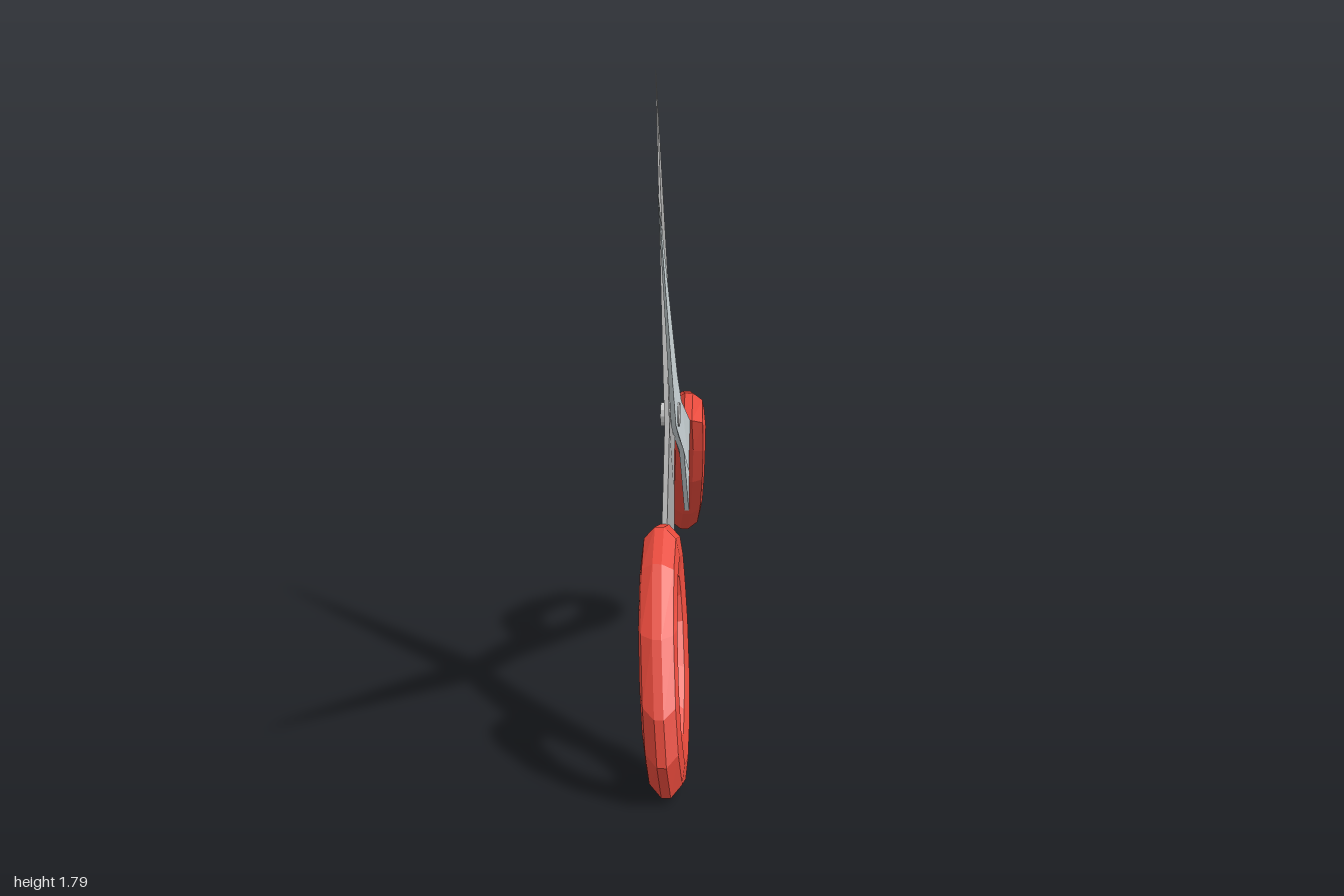
import * as THREE from 'three';
import { toCreasedNormals } from 'three/addons/utils/BufferGeometryUtils.js';

const PIVOT = { y: 0.86, z: 0.11 };

const material = (color) => new THREE.MeshStandardMaterial({ color, flatShading: true });

// Sideways lean of each half: x position of its middle plane at a given y and z
const leanA = (y, z) => 0.008 + (z > PIVOT.z ? 0.04 * (z - PIVOT.z) : 0.13 * Math.min(0, z + 0.4));
const leanB = (y) => -0.008 - (y > PIVOT.y ? 0.103 : 0.08) * (y - PIVOT.y);

function named(geometry, color, name) {
  const mesh = new THREE.Mesh(geometry, material(color));
  mesh.name = name;
  return mesh;
}

// Thin steel plate from a (z, y) outline, thinning towards the tip
function bladeGeometry(outline, lean) {
  const shape = new THREE.Shape(outline.map(([z, y]) => new THREE.Vector2(-z, y)));
  const geometry = new THREE.ExtrudeGeometry(shape, { depth: 0.014, bevelEnabled: false });
  geometry.translate(0, 0, -0.007).rotateY(Math.PI / 2);
  const p = geometry.attributes.position;
  for (let i = 0; i < p.count; i++) {
    const y = p.getY(i), z = p.getZ(i);
    const taper = y > 1.4 ? 0.15 : 1;
    p.setX(i, p.getX(i) * taper + lean(y, z));
  }
  geometry.computeVertexNormals();
  return toCreasedNormals(geometry, 0.3);
}

// Faceted finger loop: a rounded section swept between an outer and an inner outline
function loopGeometry(outer, inner, lean) {
  const half = [[0, 0.012], [0.2, 0.042], [0.5, 0.05], [0.85, 0.04], [1, 0.015]];
  const section = [...half, ...half.map(([t, w]) => [t, -w]).reverse()];
  const n = outer.length, m = section.length;
  const positions = [], index = [];
  for (let i = 0; i < n; i++) {
    for (const [t, w] of section) {
      const z = THREE.MathUtils.lerp(outer[i][0], inner[i][0], t);
      const y = THREE.MathUtils.lerp(outer[i][1], inner[i][1], t);
      positions.push(lean(y, z) + w, y, z);
    }
  }
  for (let i = 0; i < n; i++) {
    for (let j = 0; j < m; j++) {
      const i2 = (i + 1) % n, j2 = (j + 1) % m;
      const a = i * m + j, b = i2 * m + j, c = i2 * m + j2, d = i * m + j2;
      index.push(a, d, c, a, c, b);
    }
  }
  const geometry = new THREE.BufferGeometry();
  geometry.setAttribute('position', new THREE.Float32BufferAttribute(positions, 3));
  geometry.setIndex(index);
  const flat = geometry.toNonIndexed();
  flat.computeVertexNormals();
  return flat;
}

// Outlines are (z, y) pairs
const halves = [
  {
    name: 'forwardHalf', lean: leanA, steel: 0xd0dadd,
    blade: [[1, 1.555], [0.11, 0.97], [-0.02, 0.876], [-0.33, 0.764], [-0.42, 0.7],
      [-0.5, 0.56], [-0.58, 0.43], [-0.107, 0.716], [0.075, 0.79], [0.2, 0.844]],
    outer: [[-0.33, 0.764], [-0.45, 0.828], [-0.606, 0.807], [-0.815, 0.689], [-0.97, 0.556], [-1, 0.47],
      [-0.997, 0.374], [-0.906, 0.315], [-0.75, 0.337], [-0.584, 0.422], [-0.456, 0.55], [-0.39, 0.66]],
    inner: [[-0.51, 0.7], [-0.56, 0.705], [-0.64, 0.69], [-0.74, 0.64], [-0.82, 0.565], [-0.85, 0.51],
      [-0.85, 0.475], [-0.81, 0.445], [-0.72, 0.46], [-0.62, 0.505], [-0.53, 0.58], [-0.505, 0.64]],
  },
  {
    name: 'rearwardHalf', lean: leanB, steel: 0xa8a8a8,
    blade: [[-0.515, 1.8], [0.11, 0.967], [0.2, 0.844], [0.472, 0.625], [0.54, 0.53],
      [0.55, 0.39], [0.595, 0.225], [0.225, 0.65], [0.08, 0.79], [-0.01, 0.876]],
    outer: [[0.472, 0.625], [0.6, 0.646], [0.73, 0.577], [0.88, 0.417], [0.976, 0.235], [1, 0.118],
      [0.96, 0.027], [0.863, 0.01], [0.73, 0.085], [0.595, 0.219], [0.51, 0.385], [0.485, 0.51]].reverse(),
    inner: [[0.6, 0.49], [0.65, 0.505], [0.7, 0.5], [0.785, 0.45], [0.85, 0.36], [0.875, 0.26],
      [0.868, 0.18], [0.79, 0.17], [0.73, 0.21], [0.65, 0.29], [0.6, 0.39], [0.59, 0.45]].reverse(),
  },
];

export function createModel() {
  const model = new THREE.Group();
  model.name = 'scissors';

  for (const { name, lean, steel, blade, outer, inner } of halves) {
    const half = new THREE.Group();
    half.name = name;
    half.add(named(bladeGeometry(blade, lean), steel, 'blade'));
    half.add(named(loopGeometry(outer, inner, lean), 0xe84a3c, 'fingerLoop'));
    model.add(half);
  }

  // Pivot screw through both blades
  const screw = named(new THREE.CylinderGeometry(0.034, 0.034, 0.052, 12), 0xcccccc, 'pivotScrew');
  screw.rotation.z = Math.PI / 2;
  screw.position.set(-0.005, PIVOT.y, PIVOT.z);
  model.add(screw);

  return model;
}
